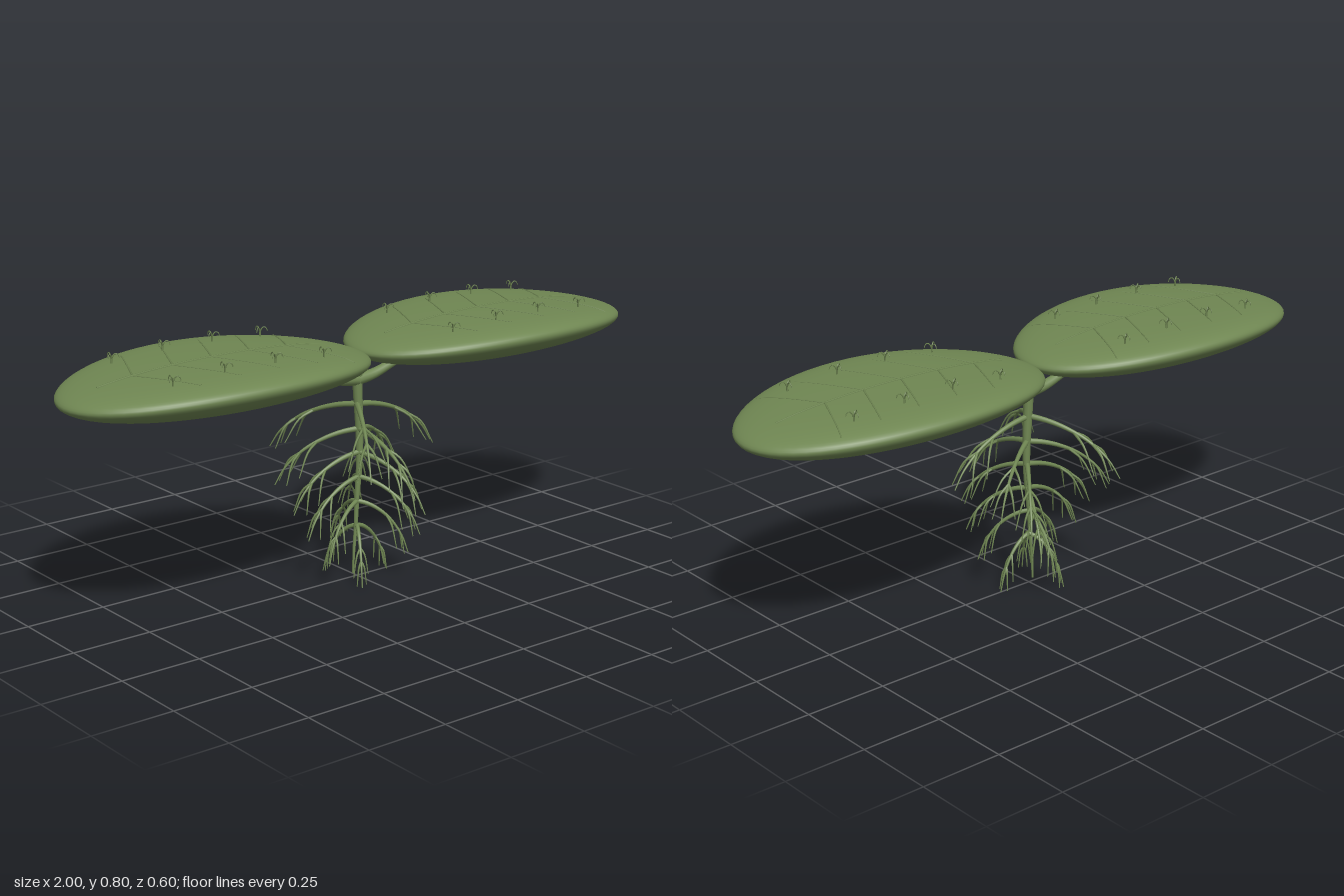
import * as THREE from 'three';

const green = new THREE.MeshStandardMaterial({ color: 0x6f8652, side: THREE.DoubleSide });
green.name = 'leafGreen';

const V = (x, y, z) => new THREE.Vector3(x, y, z);

// Height of the leaf's upper surface; u is measured from the leaf centre along x
const MID = 0.701, HALF = 0.071, LEN = 0.5, WID = 0.3;
const curl = (z) => 0.36 * z * z;
const leafTop = (u, z) =>
  MID + curl(z) + HALF * Math.sqrt(Math.max(0, 1 - (u / LEN) ** 2 - (z / WID) ** 2));

function add(parent, geometry, name) {
  const mesh = new THREE.Mesh(geometry, green);
  mesh.name = name;
  parent.add(mesh);
  return mesh;
}

// Tube along points whose radius runs from r0 to r1
function taperedTube(points, r0, r1, segments = 12, sides = 8) {
  const curve = new THREE.CatmullRomCurve3(points);
  const geo = new THREE.TubeGeometry(curve, segments, 1, sides, false);
  const pos = geo.attributes.position, p = V(0, 0, 0);
  for (let i = 0; i <= segments; i++) {
    const centre = curve.getPointAt(i / segments);
    const r = r0 + (r1 - r0) * (i / segments);
    for (let j = 0; j <= sides; j++) {
      const k = i * (sides + 1) + j;
      p.fromBufferAttribute(pos, k).sub(centre).multiplyScalar(r).add(centre);
      pos.setXYZ(k, p.x, p.y, p.z);
    }
  }
  return geo;
}

// Floating leaf: flattened ellipsoid with its long edges curled up
function makeLeaf(firstVein) {
  const leaf = new THREE.Group();
  const blade = new THREE.SphereGeometry(1, 64, 40);
  blade.scale(LEN, HALF, WID);
  const pos = blade.attributes.position, nor = blade.attributes.normal, n = V(0, 0, 0);
  for (let i = 0; i < pos.count; i++) {
    const z = pos.getZ(i);
    pos.setY(i, pos.getY(i) + MID + curl(z));
    n.fromBufferAttribute(nor, i);
    n.z -= 0.72 * z * n.y;
    n.normalize();
    nor.setXYZ(i, n.x, n.y, n.z);
  }
  add(leaf, blade, 'blade');

  // Midrib and five pairs of slanted side veins lying on the surface
  const onLeaf = (u, z) => V(u, leafTop(u, z), z);
  const line = (u0, z0, u1, z1) => Array.from({ length: 9 }, (_, i) =>
    onLeaf(u0 + (u1 - u0) * i / 8, z0 + (z1 - z0) * i / 8));
  add(leaf, taperedTube(line(-0.395, 0, 0.395, 0), 0.004, 0.003, 24, 6), 'midrib');
  for (let i = 0; i < 5; i++) {
    const u = firstVein + i * 0.131;
    for (const s of [-1, 1])
      add(leaf, taperedTube(line(u, 0, u + 0.09, s * 0.2), 0.003, 0.002, 12, 6), 'sideVein');
  }
  return leaf;
}

// Tuft of three arching hairs on a short stalk
function makeTuft() {
  const tuft = new THREE.Group();
  add(tuft, taperedTube([V(0, -0.004, 0), V(0, 0.006, 0), V(0, 0.016, 0)], 0.003, 0.0025, 3, 6), 'tuftStalk');
  for (let i = 0; i < 3; i++) {
    const a = Math.PI / 6 + i * Math.PI * 2 / 3;
    const arc = [[0, 0.012], [0.005, 0.023], [0.012, 0.028], [0.019, 0.024], [0.022, 0.015]];
    add(tuft, taperedTube(arc.map(([r, y]) => V(r * Math.cos(a), y, r * Math.sin(a))),
      0.0024, 0.0012, 8, 5), 'tuftHair');
  }
  return tuft;
}

// Root that arches out and droops, with fine rootlets splitting off it
function makeRoot(length, drop, thick) {
  const root = new THREE.Group();
  const path = [[0, 0], [0.2, 0.05], [0.42, 0.16], [0.66, 0.36], [0.88, 0.68], [1, 1]];
  const main = path.map(([r, d]) => V(r * length, -d * drop, 0));
  const curve = new THREE.CatmullRomCurve3(main);
  add(root, taperedTube(main, thick, 0.0016, 20, 8), 'rootBranch');
  const forks = [[0.42, 0.78, 0.86, 0.2], [0.42, 0.74, 0.8, -0.2],
    [0.62, 0.93, 0.99, 0.13], [0.62, 0.88, 0.97, -0.13]];
  for (const [t, r, d, side] of forks) {
    const a = curve.getPointAt(t);
    const end = V(r * length, -d * drop, side * length);
    const mid = a.clone().lerp(end, 0.5);
    mid.y += 0.14 * drop;
    add(root, taperedTube([a, mid, end], thick * 0.5, 0.0014, 8, 6), 'rootlet');
  }
  return root;
}

export function createModel() {
  const model = new THREE.Group();
  model.name = 'floatingFern';

  // Two leaves side by side, each with two rows of tufts
  for (const [name, cx, firstVein] of [['leftLeaf', 0.5, -0.29], ['rightLeaf', -0.5, -0.28]]) {
    const leaf = makeLeaf(firstVein);
    leaf.name = name;
    leaf.position.x = cx;
    for (let i = 0; i < 4; i++) for (const z of [-0.155, 0.155]) {
      const u = Math.sign(cx) * (0.24 + i * 0.17) - cx;
      const tuft = makeTuft();
      tuft.name = 'hairTuft';
      tuft.position.set(u, leafTop(u, z), z);
      leaf.add(tuft);
    }
    model.add(leaf);
  }

  // Leaf stalks sweeping up from the stem
  for (const s of [-1, 1])
    add(model, taperedTube([V(0, 0.62, 0), V(s * 0.06, 0.627, 0), V(s * 0.13, 0.648, 0), V(s * 0.18, 0.664, 0)],
      0.019, 0.011, 12, 10), s > 0 ? 'leftStalk' : 'rightStalk');

  // Central stem, slightly wavy
  const stem = [[0, 0.67], [0.003, 0.58], [0.009, 0.46], [0.009, 0.36], [0, 0.25], [-0.005, 0.16], [-0.012, 0.08], [-0.015, 0.012]];
  add(model, taperedTube(stem.map(([x, y]) => V(x, y, 0)), 0.017, 0.003, 36, 10), 'stem');

  // Six whorls of three roots, shorter toward the bottom: height, length, turn in degrees
  const whorls = [[0.545, 0.285, 0], [0.467, 0.255, -32], [0.394, 0.225, -53],
    [0.317, 0.195, -62], [0.241, 0.155, -80], [0.165, 0.112, 0]];
  whorls.forEach(([y, length, turn], i) => {
    const whorl = new THREE.Group();
    whorl.name = 'rootWhorl';
    whorl.position.set(i > 0 && i < 4 ? 0.007 : 0, y, 0);
    for (let k = 0; k < 3; k++) {
      const root = makeRoot(length, 0.163, 0.0095 - i * 0.0005);
      root.name = 'root';
      root.rotation.y = -THREE.MathUtils.degToRad(turn + k * 120);
      whorl.add(root);
    }
    model.add(whorl);
  });
  return model;
}
